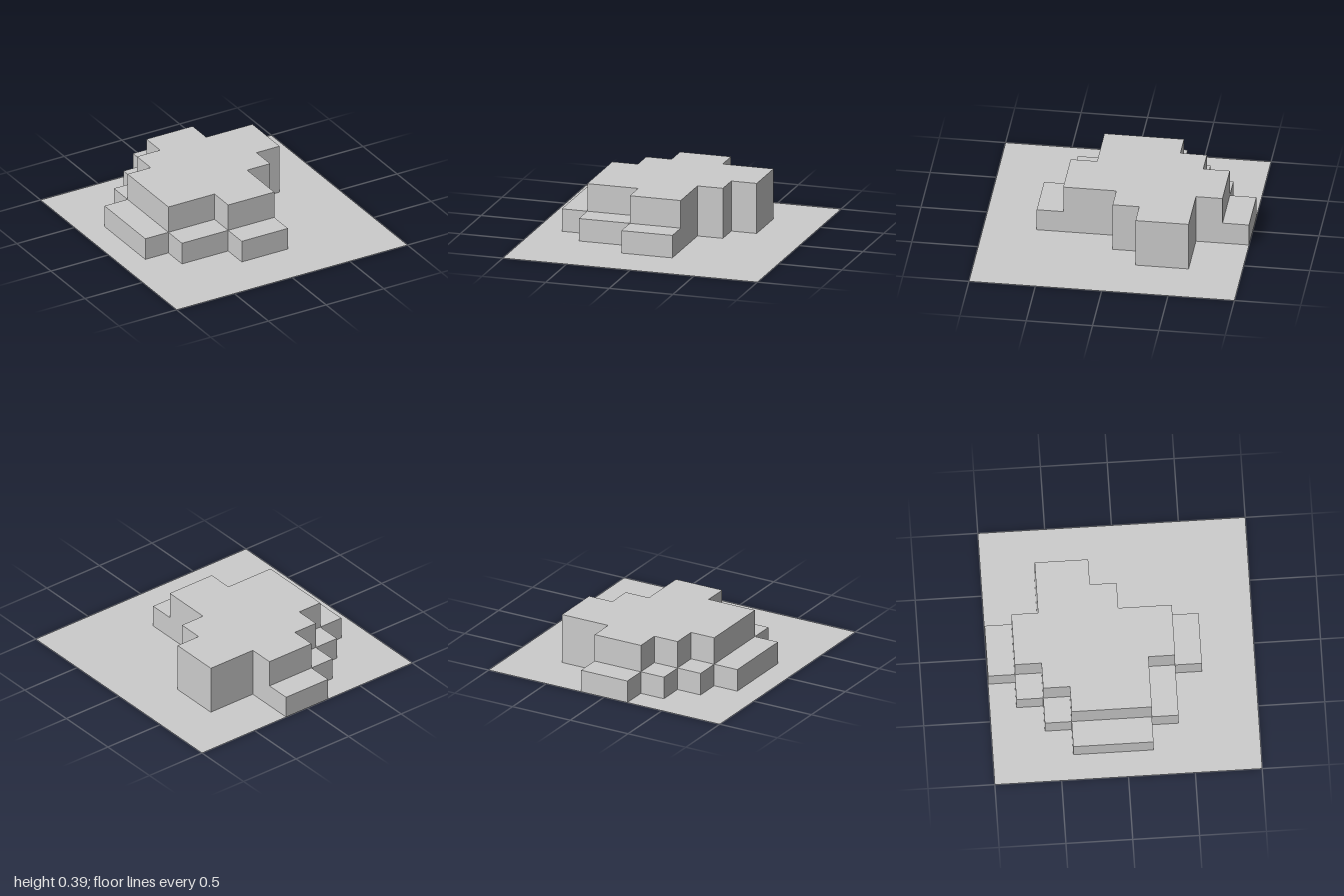
import * as THREE from 'three';

const TOP = 0.39, LEDGE = 0.175;

// Plan outlines as [x, z], running back -> right -> front -> left.
const ledgeSide = [[0.2, -0.8], [0.2, -1], [-0.2, -1], [-0.2, -0.8], [-0.4, -0.8], [-0.4, -0.6],
  [-0.6, -0.6], [-0.6, -0.4], [-0.8, -0.4], [-0.8, 0.2], [-0.6, 0.2], [-0.6, 0.4],
  [-0.2, 0.4], [-0.2, 0.6], [0.2, 0.6], [0.2, 0.4]];
const plateauSide = [[0.2, -0.8], [-0.2, -0.8], [-0.2, -0.6], [-0.4, -0.6], [-0.4, -0.4],
  [-0.6, -0.4], [-0.6, 0.2], [-0.2, 0.2], [-0.2, 0.4], [0.2, 0.4]];
const cliffSide = [[0.2, 0.4], [0.2, 0], [0.4, 0], [0.4, -0.2], [0.6, -0.2], [0.6, -0.6],
  [0.2, -0.6], [0.2, -0.8]];

// Low ledge tops as [x0, x1, z0, z1].
const ledges = [[-0.2, 0.2, -1, -0.8], [-0.4, -0.2, -0.8, -0.6], [-0.6, -0.4, -0.6, -0.4],
  [-0.8, -0.6, -0.4, 0.2], [-0.6, -0.2, 0.2, 0.4], [-0.2, 0.2, 0.4, 0.6]];

export function createModel() {
  const group = new THREE.Group();
  const material = new THREE.MeshStandardMaterial({ color: 0xcccccc, side: THREE.DoubleSide });

  const add = (name, geometry) => {
    const mesh = new THREE.Mesh(geometry, material);
    mesh.name = name;
    group.add(mesh);
  };

  // Horizontal sheet with the given plan outline
  const sheet = (name, outline, y) => {
    const shape = new THREE.Shape(outline.map(([x, z]) => new THREE.Vector2(x, -z)));
    add(name, new THREE.ShapeGeometry(shape).rotateX(-Math.PI / 2).translate(0, y, 0));
  };

  // Vertical walls standing on the ground along a plan path
  const walls = (name, path, h) => {
    const p = [];
    for (let i = 0; i < path.length - 1; i++) {
      const [ax, az] = path[i], [bx, bz] = path[i + 1];
      p.push(ax, 0, az, bx, 0, bz, bx, h, bz, ax, 0, az, bx, h, bz, ax, h, az);
    }
    const geometry = new THREE.BufferGeometry();
    geometry.setAttribute('position', new THREE.Float32BufferAttribute(p, 3));
    geometry.computeVertexNormals();
    add(name, geometry);
  };

  // Ground, cut away under the hollow hill and open at the back edge
  sheet('ground', [[-1, -1], ...ledgeSide.slice(2), ...cliffSide.slice(1), [0.2, -1],
    [1, -1], [1, 1], [-1, 1]], 0);

  // Raised plateau
  const plateau = [...plateauSide, ...cliffSide.slice(1)];
  sheet('plateauTop', plateau.slice(0, -1), TOP);
  walls('plateauWalls', plateau, TOP);

  // Low ledges stepping around the plateau
  walls('ledgeWalls', ledgeSide, LEDGE);
  for (const [x0, x1, z0, z1] of ledges) {
    sheet('ledgeTop', [[x0, z0], [x0, z1], [x1, z1], [x1, z0]], LEDGE);
  }
  return group;
}
